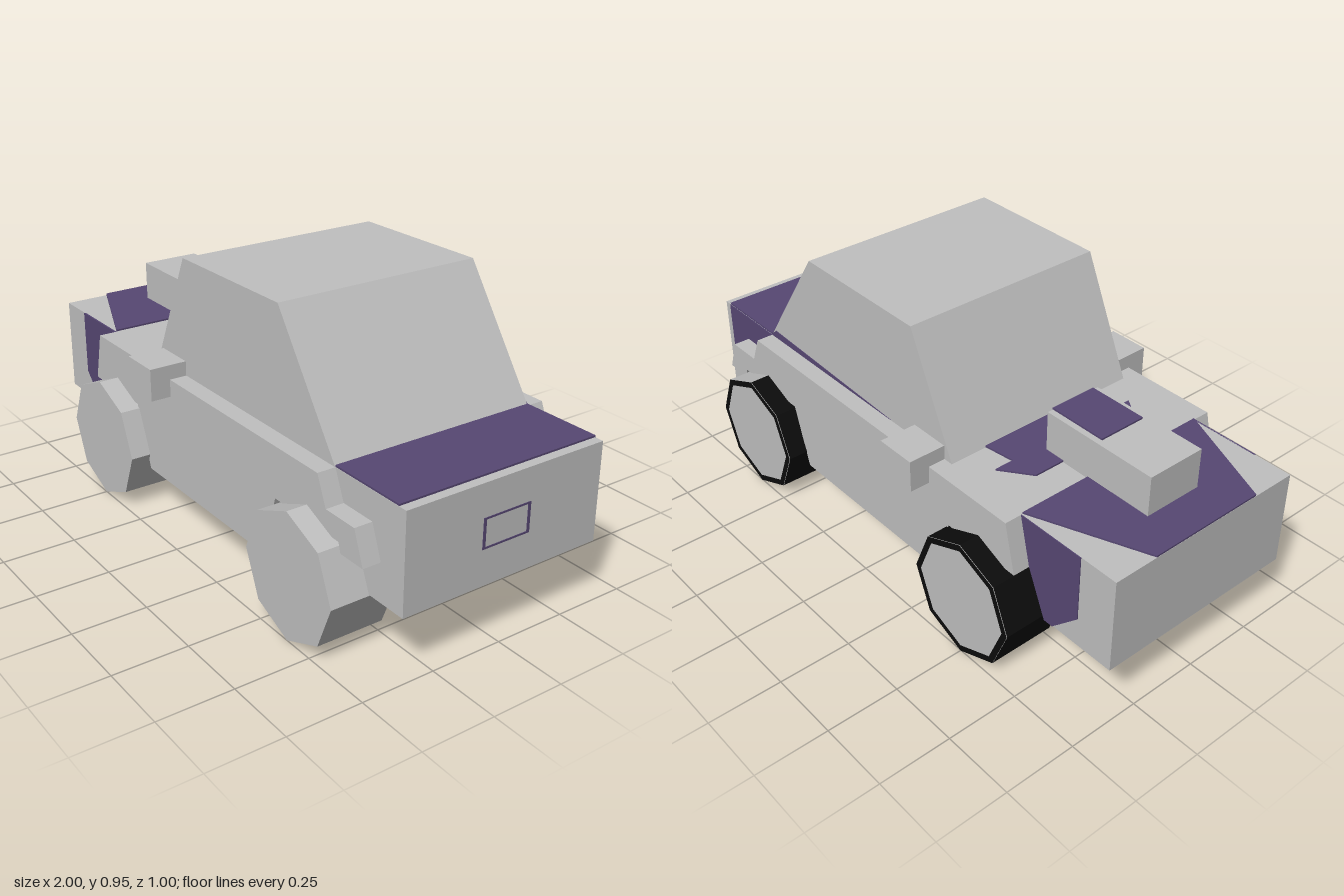
import * as THREE from 'three';

const material = (name, color) => {
  const m = new THREE.MeshStandardMaterial({ color });
  m.name = name;
  return m;
};

export function createModel() {
  const car = new THREE.Group();
  car.name = 'car';
  const grey = material('light grey', 0xc0c0c0);
  const purple = material('dark purple', 0x574873);
  const black = material('black', 0x0c0c0c);

  const add = (name, geometry, mat, x = 0, y = 0, z = 0) => {
    const mesh = new THREE.Mesh(geometry, mat);
    mesh.name = name;
    mesh.position.set(x, y, z);
    car.add(mesh);
    return mesh;
  };
  const shapeOf = (points) => new THREE.Shape(points.map(([x, y]) => new THREE.Vector2(x, y)));
  // Side profile (x, y) extruded along z, centred on z = 0
  const profile = (points, width) => {
    const g = new THREE.ExtrudeGeometry(shapeOf(points), { depth: width, bevelEnabled: false });
    return g.translate(0, 0, -width / 2);
  };
  const T = 0.006; // thickness of painted panels
  const sidePaint = (name, points, z) => add(name, profile(points, T), purple, 0, 0, z);
  // Horizontal painted panel from (x, z) points
  const flatPaint = (name, points, y) =>
    add(name, profile(points, T).rotateX(Math.PI / 2), purple, 0, y, 0);
  const box = (name, x0, x1, y0, y1, z0, z1, mat) =>
    add(name, new THREE.BoxGeometry(x1 - x0, y1 - y0, z1 - z0), mat,
      (x0 + x1) / 2, (y0 + y1) / 2, (z0 + z1) / 2);

  // Body with wheel arches cut right through
  const arches = [[0.79, 0.38], [0.48, 0.38], [0.415, 0.165], [-0.285, 0.165], [-0.36, 0.38], [-0.66, 0.38]];
  add('body', profile([[-1, 0.22], [-1, 0.55], [1, 0.55], [1, 0.22], [0.84, 0.22],
    ...arches, [-0.73, 0.22]], 0.736), grey);

  // Wider doors and fenders
  add('sidePanels', profile([[-0.62, 0.55], [0.69, 0.55], [0.73, 0.455], [0.86, 0.455],
    [0.9, 0.347], [0.8, 0.347], ...arches], 0.86), grey);

  // Cabin and hood scoop
  add('cabin', profile([[-0.305, 0.55], [-0.12, 0.95], [0.41, 0.953], [0.69, 0.55]], 0.738), grey);
  box('hoodScoop', -0.865, -0.44, 0.54, 0.695, -0.105, 0.105, grey);

  // Painted panels on hood, scoop and rear deck
  flatPaint('hoodPaintFront', [[-1, -0.21], [-0.62, -0.365], [-0.62, 0.365], [-1, 0.21]], 0.554);
  flatPaint('hoodPaintRear', [[-0.515, -0.215], [-0.415, -0.29], [-0.415, -0.22], [-0.305, -0.235],
    [-0.305, 0.235], [-0.415, 0.22], [-0.415, 0.28], [-0.515, 0.215]], 0.554);
  flatPaint('scoopPaint', [[-0.65, -0.085], [-0.44, -0.085], [-0.44, 0.085], [-0.65, 0.085]], 0.699);
  flatPaint('deckPaint', [[0.69, -0.368], [0.97, -0.368], [0.97, 0.368], [0.69, 0.368]], 0.554);

  // Painted panels under the car
  flatPaint('floorPaint', [[-0.28, 0.4], [-0.28, -0.42], [0.23, -0.42]], 0.168);
  flatPaint('noseFloorPaint', [[-0.73, 0.3], [-0.73, -0.3], [-0.88, -0.1]], 0.223);

  // Painted panels on the sides
  const nosePaint = [[-0.865, 0.55], [-0.865, 0.32], [-0.765, 0.22], [-0.73, 0.22], [-0.66, 0.38], [-0.62, 0.55]];
  sidePaint('leftNosePaint', nosePaint, 0.368);
  sidePaint('rightNosePaint', nosePaint, -0.368);
  sidePaint('rightTailPaint', [[0.69, 0.55], [0.97, 0.55], [0.97, 0.35], [0.84, 0.22], [0.79, 0.38]], -0.368);
  sidePaint('rightSillPaint', [[0, 0.552], [0.69, 0.552], [0.66, 0.58]], -0.368);

  // Number plate frame on the tail
  for (const y of [0.343, 0.437]) box('plateFrame', 0.997, 1.002, y - 0.003, y + 0.003, -0.088, 0.088, purple);
  for (const z of [-0.084, 0.084]) box('plateFrame', 0.997, 1.002, 0.34, 0.44, z - 0.005, z + 0.005, purple);

  // Wing mirrors
  for (const s of [-1, 1]) {
    const m = box('wingMirror', -0.27, -0.125, 0.49, 0.6, 0.368, 0.5, grey);
    m.position.z *= s;
  }

  // Axles
  for (const x of [-0.5, 0.64]) {
    const g = new THREE.CylinderGeometry(0.054, 0.054, 0.6, 8).rotateX(Math.PI / 2).toNonIndexed();
    g.computeVertexNormals();
    add('axle', g, grey, x, 0.184, 0);
  }

  // Eight-sided wheels, each with its own set of black tread faces
  const wheel = (x, side, blackFaces) => {
    const g = new THREE.CylinderGeometry(0.213, 0.213, 0.23, 8).rotateX(Math.PI / 2).toNonIndexed();
    g.computeVertexNormals();
    g.clearGroups();
    for (let i = 0; i < 8; i++) g.addGroup(i * 6, 6, blackFaces.includes(i) ? 1 : 0);
    g.addGroup(48, 48, 0);
    add('wheel', g, [grey, black], x, 0.217, side * 0.385);
  };
  wheel(-0.5, 1, [5, 6]);
  wheel(0.64, 1, []);
  wheel(-0.5, -1, [0, 1, 2, 3, 4, 5, 6, 7]);
  wheel(0.64, -1, [4, 5, 6, 7]);

  // Black rims on the right-hand wheels
  for (const x of [-0.5, 0.64]) {
    add('wheelRim', new THREE.RingGeometry(0.19, 0.213, 8).rotateY(Math.PI), black, x, 0.217, -0.502);
  }
  return car;
}
